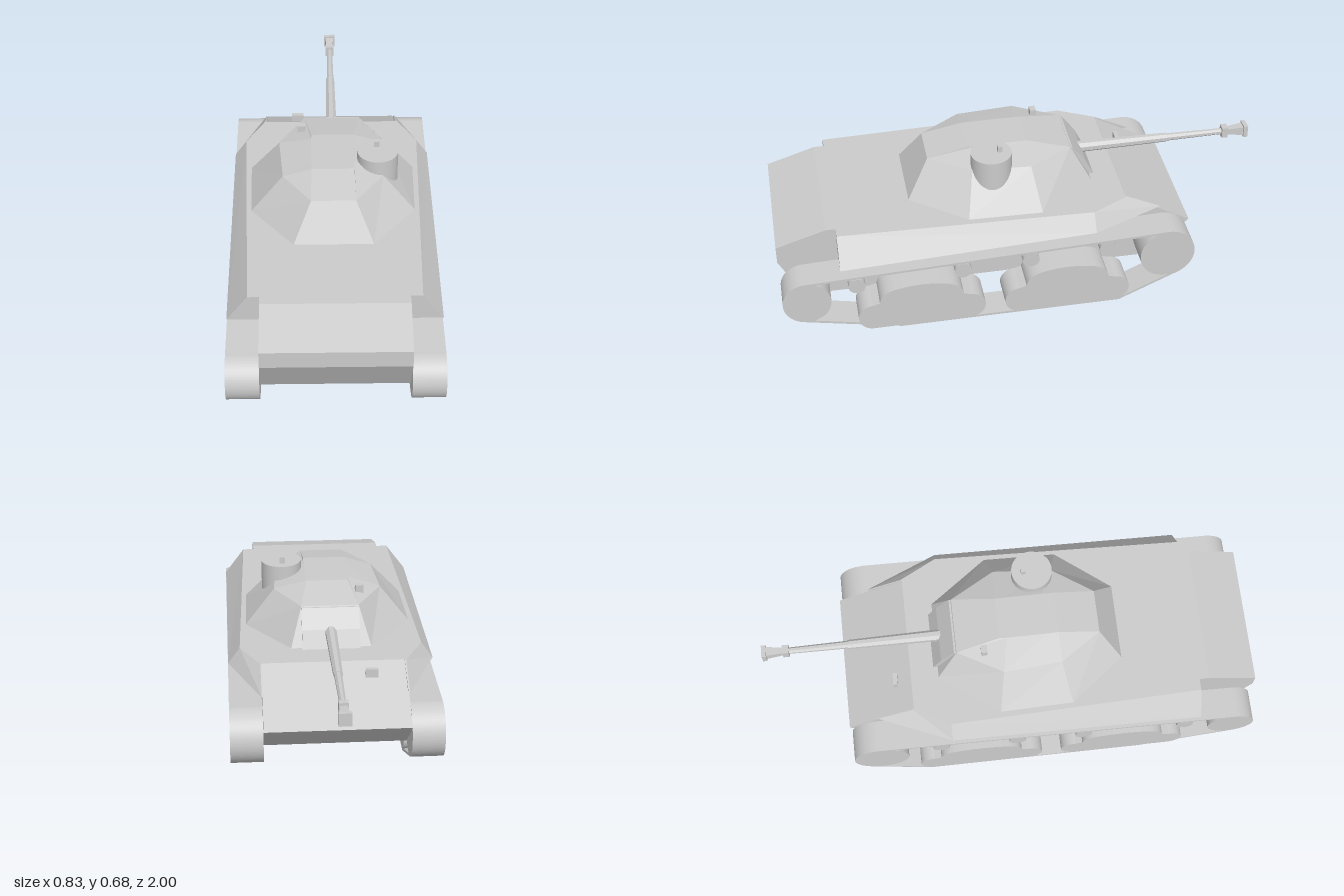
import * as THREE from 'three';

const grey = new THREE.MeshStandardMaterial({ color: 0xcccccc });
const flat = new THREE.MeshStandardMaterial({ color: 0xcccccc, flatShading: true });
const TRACK_X = 0.349, TRACK_W = 0.128;

function add(parent, name, geometry, material = grey) {
  const mesh = new THREE.Mesh(geometry, material);
  mesh.name = name;
  parent.add(mesh);
  return mesh;
}

// Side profile in (z, y), extruded across x and centred on cx
function slab(shape, width, cx = 0, curveSegments = 24) {
  return new THREE.ExtrudeGeometry(shape, { depth: width, bevelEnabled: false, curveSegments })
    .rotateY(-Math.PI / 2).translate(cx + width / 2, 0, 0);
}

const polygon = (pts) => new THREE.Shape(pts.map(([z, y]) => new THREE.Vector2(z, y)));

// Cylinder lying along x
const axle = (r, width, x, y, z) =>
  new THREE.CylinderGeometry(r, r, width, 40).rotateZ(Math.PI / 2).translate(x, y, z);

const box = (w, h, d, x, y, z) => new THREE.BoxGeometry(w, h, d).translate(x, y, z);

// Flat-faced solid joining matching rings of [x, y, z] corners
function loft(rings) {
  const out = [], n = rings[0].length;
  const tri = (a, b, c) => out.push(...a, ...b, ...c);
  for (let r = 0; r < rings.length - 1; r++) {
    for (let i = 0; i < n; i++) {
      const j = (i + 1) % n, p = rings[r], q = rings[r + 1];
      tri(p[i], p[j], q[j]);
      tri(p[i], q[j], q[i]);
    }
  }
  const first = rings[0], last = rings[rings.length - 1];
  for (let i = 1; i < n - 1; i++) {
    tri(last[0], last[i], last[i + 1]);
    tri(first[0], first[i + 1], first[i]);
  }
  const g = new THREE.BufferGeometry();
  g.setAttribute('position', new THREE.Float32BufferAttribute(out, 3));
  g.computeVertexNormals();
  return g;
}

const mirrorRing = (ring) => ring.map(([x, y, z]) => [-x, y, z]).reverse();

// Closed outline of the track around the two end wheels, shrunk by t
function trackPath(path, t) {
  const d = Math.PI / 180;
  path.absarc(0.9, 0.18, 0.097 - t, -78 * d, 92 * d, false);
  path.absarc(-0.565, 0.215, 0.114 - t, 92 * d, 245 * d, false);
  path.lineTo(-0.37, t);
  path.lineTo(0.53, t);
  path.closePath();
  return path;
}

// Twin-wheel bogie silhouette, centred on z = c
function bogieShape(c) {
  const s = new THREE.Shape(), r = 0.06;
  s.moveTo(c - 0.195, 0.006);
  s.lineTo(c + 0.195, 0.006);
  s.absarc(c + 0.198, 0.006 + r, r, -Math.PI / 2, Math.PI / 2, false);
  s.lineTo(c + 0.17, 0.135);
  s.quadraticCurveTo(c + 0.165, 0.18, c + 0.11, 0.195);
  s.quadraticCurveTo(c, 0.222, c - 0.11, 0.195);
  s.quadraticCurveTo(c - 0.165, 0.18, c - 0.17, 0.135);
  s.absarc(c - 0.198, 0.006 + r, r, Math.PI / 2, Math.PI * 1.5, false);
  return s;
}

function buildRunningGear(side) {
  const gear = new THREE.Group(), x = side * TRACK_X;
  gear.name = side > 0 ? 'leftRunningGear' : 'rightRunningGear';
  const belt = trackPath(new THREE.Shape(), 0);
  belt.holes.push(trackPath(new THREE.Path(), 0.01));
  add(gear, 'track', slab(belt, TRACK_W, x));
  add(gear, 'idlerWheel', axle(0.095, TRACK_W, x, 0.18, 0.9));
  add(gear, 'driveWheel', axle(0.112, TRACK_W, x, 0.215, -0.565));
  for (const c of [0.445, -0.152]) add(gear, 'bogie', slab(bogieShape(c), TRACK_W, x));
  for (const [z, y] of [[0.7, 0.238], [0.275, 0.254], [0, 0.268], [-0.315, 0.281]]) {
    add(gear, 'returnRoller', axle(0.034, TRACK_W, x, y, z));
  }
  return gear;
}

function buildHull() {
  const hull = new THREE.Group();
  hull.name = 'hull';
  add(hull, 'hullBody', slab(polygon([
    [0.8, 0.435], [-0.41, 0.435], [-0.685, 0.28], [-0.665, 0.26], [-0.5, 0.12],
    [0.8, 0.12], [0.915, 0.135], [1, 0.3], [1, 0.372],
  ]), 0.568));
  // Sloped side sponsons, tapering into the glacis
  const section = (xTop, zTop, xLow, yLow, zLow) => [
    [0.28, 0.435, zTop], [xTop, 0.435, zTop], [xLow, yLow, zLow], [0.28, yLow, zLow],
  ];
  const rings = [
    section(0.33, 0.76, 0.412, 0.325, 0.76),
    section(0.364, -0.265, 0.412, 0.367, -0.265),
    section(0.286, -0.415, 0.286, 0.365, -0.56),
  ];
  add(hull, 'leftSponson', loft(rings), flat);
  add(hull, 'rightSponson', loft(rings.map(mirrorRing)), flat);
  add(hull, 'driverPeriscope', box(0.05, 0.035, 0.018, -0.145, 0.414, -0.475));
  return hull;
}

function buildTurret() {
  const turret = new THREE.Group();
  turret.name = 'turret';
  add(turret, 'turretRing', new THREE.CylinderGeometry(0.25, 0.25, 0.02, 48).translate(0, 0.433, 0.085));

  // Faceted shell: eight-sided rings at the base, shoulder and roof
  const ring = (y, half) => {
    const right = half.map(([x, z]) => [x, y, z]);
    return [...right, ...mirrorRing(right)];
  };
  add(turret, 'turretShell', loft([
    ring(0.441, [[0.157, 0.455], [0.328, 0.235], [0.335, -0.06], [0.16, -0.297]]),
    ring(0.586, [[0.088, 0.365], [0.2, 0.2], [0.217, -0.035], [0.115, -0.215]]),
    ring(0.62, [[0.085, 0.2], [0.086, 0.15], [0.086, -0.01], [0.085, -0.04]]),
  ]), flat);
  add(turret, 'mantlet', slab(polygon([
    [-0.1, 0.442], [-0.1, 0.575], [-0.225, 0.582], [-0.28, 0.51], [-0.315, 0.442],
  ]), 0.23));

  // Commander's cupola and periscopes
  add(turret, 'cupola', new THREE.CylinderGeometry(0.082, 0.082, 0.2, 48).translate(0.18, 0.55, 0.12));
  add(turret, 'cupolaPeriscope', box(0.022, 0.035, 0.018, 0.177, 0.658, 0.085));
  add(turret, 'roofPeriscope', box(0.033, 0.04, 0.025, -0.126, 0.607, -0.105));
  return turret;
}

function buildGun() {
  const gun = new THREE.Group();
  gun.name = 'gun';
  // Tapered frustum from z = a to z = b along the bore
  const tube = (name, ra, rb, a, b, sides = 8) => {
    const g = new THREE.CylinderGeometry(rb, ra, a - b, sides);
    g.rotateY(Math.PI / sides).rotateX(-Math.PI / 2).translate(0, 0.498, (a + b) / 2);
    add(gun, name, g, flat);
  };
  tube('barrelSleeve', 0.025, 0.019, -0.2, -0.65);
  tube('barrel', 0.016, 0.013, -0.65, -0.9);
  add(gun, 'muzzleCollar', box(0.036, 0.046, 0.026, 0, 0.498, -0.903));
  tube('muzzleCone', 0.018, 0.027, -0.915, -0.986, 4);
  add(gun, 'muzzleFlange', box(0.05, 0.052, 0.018, 0, 0.498, -0.991));
  return gun;
}

export function createModel() {
  const model = new THREE.Group();
  model.name = 'tank';
  model.add(buildHull(), buildTurret(), buildGun());
  for (const side of [1, -1]) model.add(buildRunningGear(side));
  return model;
}
